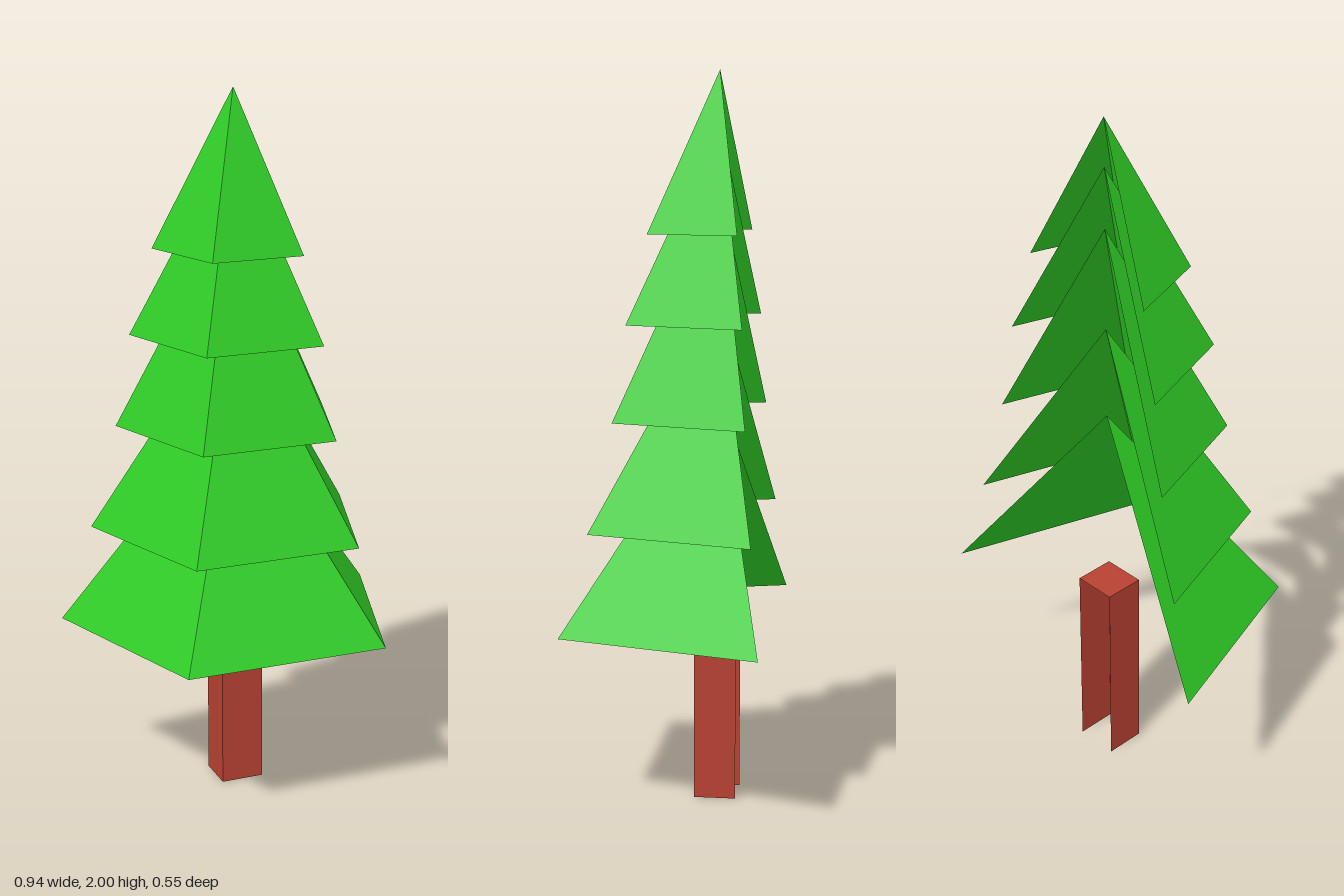
import * as THREE from 'three';

const AXIS_Z = -0.123;

// Foliage tiers, top to bottom: [apex height, bottom height, corner radius]
const TIERS = [
  [2.0, 1.565, 0.223],
  [1.863, 1.325, 0.288],
  [1.69, 1.065, 0.33],
  [1.395, 0.77, 0.405],
  [1.127, 0.495, 0.494],
];

function makeMaterial(color) {
  return new THREE.MeshStandardMaterial({ color, flatShading: true, side: THREE.DoubleSide });
}

export function createModel() {
  const model = new THREE.Group();
  const green = makeMaterial(0x2fcb26);
  const red = makeMaterial(0xb84132);

  // Five-sided open cones with the two back sides left out
  const foliage = new THREE.Group();
  foliage.name = 'foliage';
  TIERS.forEach(([apex, bottom, radius], i) => {
    const height = apex - bottom;
    const cone = new THREE.ConeGeometry(radius, height, 3, 1, true, -0.6 * Math.PI, 1.2 * Math.PI);
    const tier = new THREE.Mesh(cone, green);
    tier.name = `foliageTier${i + 1}`;
    tier.position.set(0, bottom + height / 2, AXIS_Z);
    foliage.add(tier);
  });
  model.add(foliage);

  // Trunk: front, two sides and a top cap, open at the back and underneath
  const width = 0.123, depth = 0.115, height = 0.575;
  const trunk = new THREE.Group();
  trunk.name = 'trunk';
  trunk.position.set(0, 0, -0.12);
  const addPanel = (name, w, h, position, rx, ry) => {
    const panel = new THREE.Mesh(new THREE.PlaneGeometry(w, h), red);
    panel.name = name;
    panel.position.set(...position);
    panel.rotation.set(rx, ry, 0);
    trunk.add(panel);
  };
  addPanel('trunkFront', width, height, [0, height / 2, depth / 2], 0, 0);
  addPanel('trunkTop', width, depth, [0, height, 0], -Math.PI / 2, 0);
  for (const s of [1, -1]) {
    addPanel(s > 0 ? 'trunkLeft' : 'trunkRight', depth, height,
      [s * width / 2, height / 2, 0], 0, s * Math.PI / 2);
  }
  model.add(trunk);

  return model;
}
